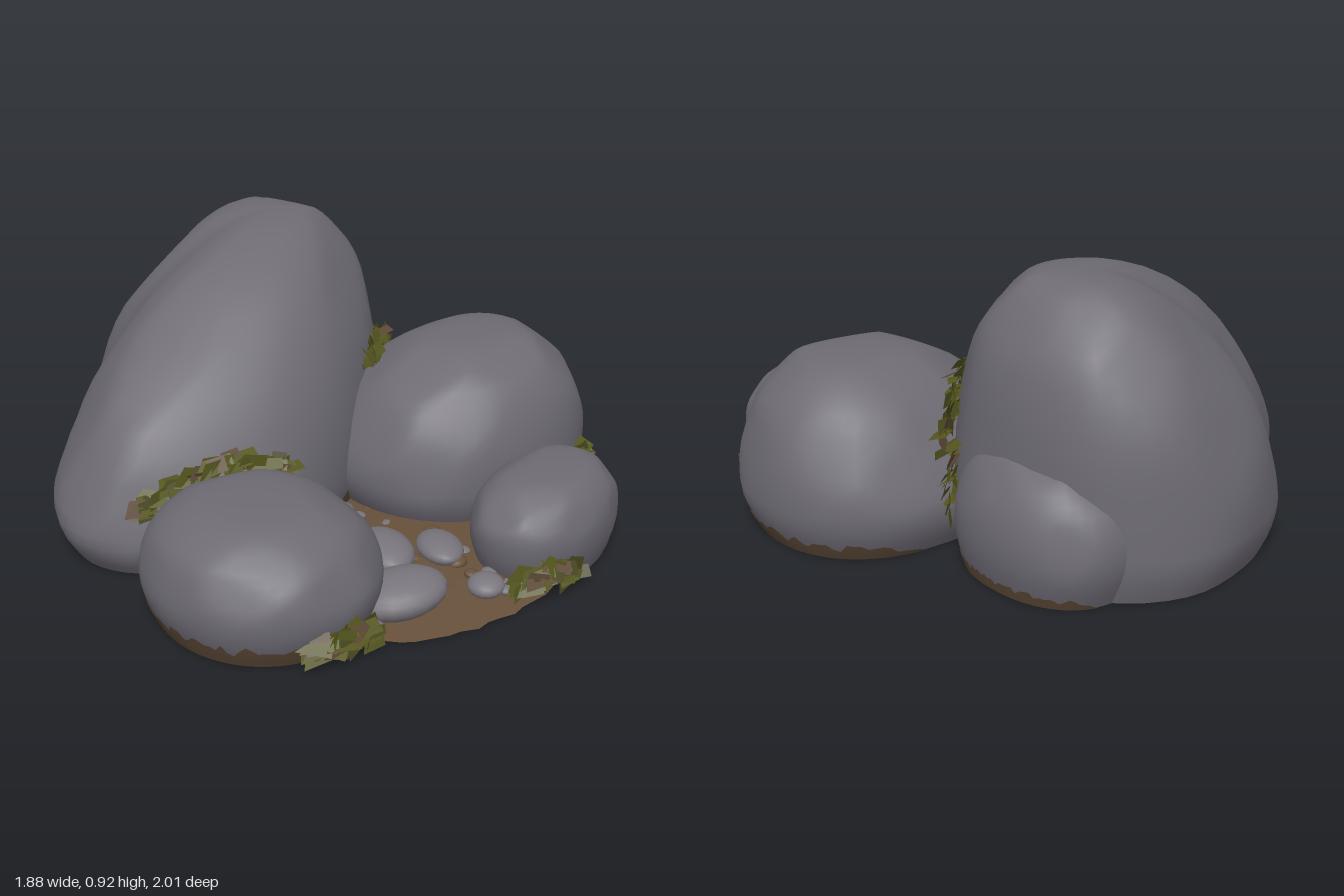
import * as THREE from 'three';
import { mergeGeometries } from 'three/addons/utils/BufferGeometryUtils.js';

const mat = (name, color, side = THREE.FrontSide) =>
  Object.assign(new THREE.MeshStandardMaterial({ color, side }), { name });

let seed = 7;
const rnd = () => {
  seed = (seed * 16807) % 2147483647;
  return seed / 2147483647;
};
const jit = (a) => (rnd() * 2 - 1) * a;

// Plan outlines, from the left and clockwise seen from above
const oval = (cx, cz, rx, rz, turn = 0, n = 2.2) => (u) => {
  const c = -Math.cos(u * Math.PI * 2), s = -Math.sin(u * Math.PI * 2);
  const r = (Math.abs(c) ** n + Math.abs(s) ** n) ** (-1 / n);
  const x = c * r * rx, z = s * r * rz, ct = Math.cos(turn), st = Math.sin(turn);
  return new THREE.Vector3(cx + x * ct + z * st, 0, cz - x * st + z * ct);
};
const loop = (points) => {
  const curve = new THREE.CatmullRomCurve3(points.map(([x, z]) => new THREE.Vector3(x, 0, z)), true);
  return (u) => curve.getPoint(((u % 1) + 1) % 1);
};

// Grid of points f(i, j) turned into a surface; i runs clockwise seen from above, j upward
function gridGeometry(ni, nj, closed, f) {
  const pos = [], idx = [];
  const cols = closed ? ni : ni + 1;
  for (let j = 0; j <= nj; j++) for (let i = 0; i < cols; i++) pos.push(...f(i, j).toArray());
  for (let j = 0; j < nj; j++) for (let i = 0; i < ni; i++) {
    const k = (i + 1) % cols;
    const a = j * cols + i, b = j * cols + k, c = a + cols, d = b + cols;
    idx.push(a, c, b, b, c, d);
  }
  const g = new THREE.BufferGeometry();
  g.setAttribute('position', new THREE.Float32BufferAttribute(pos, 3));
  g.setIndex(idx);
  g.computeVertexNormals();
  return g;
}

// Flat polygon on the ground, facing down
function capGeometry(points) {
  const g = new THREE.ShapeGeometry(new THREE.Shape(points.map((p) => new THREE.Vector2(p.x, p.z))));
  return g.rotateX(Math.PI / 2).translate(0, points[0].y, 0);
}

// Surface of a boulder: t 0..1 is the undercut foot, t 1..2 the dome.
// Random planes chisel soft facets; lean makes the dome fuller toward +x or +z.
function boulderSurface({ apex, outline, full = 2.15, lean = [0, 0], foot = 0.88 }) {
  const [ax, top, az] = apex, waist = 0.15;
  const raw = (u, t) => {
    const o = outline(u), dx = o.x - ax, dz = o.z - az;
    let s = foot + (1 - foot) * Math.sin(Math.min(t, 1) * Math.PI / 2), y = waist * t;
    if (t > 1) {
      const a = (t - 1) * Math.PI / 2;
      const e = 2 / (full + (lean[0] * dx + lean[1] * dz) / Math.hypot(dx, dz));
      s = Math.max(Math.cos(a), 0.0001) ** e;
      y = waist + (top + 0.015 - waist) * Math.sin(a) ** e;
    }
    const x = ax + dx * s, z = az + dz * s;
    s *= 1 + 0.012 * Math.sin(9 * x + 7 * y + ax * 20) * Math.sin(8 * z - 6 * y);
    return new THREE.Vector3(ax + dx * s, y, az + dz * s);
  };
  const samples = [];
  for (let i = 0; i < 30; i++) for (let j = 0; j <= 10; j++) samples.push(raw(i / 30, 0.5 + j * 0.15));
  const planes = [{ n: new THREE.Vector3(0, 1, 0), d: top - 0.01 }];
  const centre = new THREE.Vector3(ax, top * 0.2, az);
  for (let k = 0; k < 16; k++) {
    const a = k * 2.4 + jit(0.4), y = 0.1 + 0.8 * rnd(), r = Math.sqrt(1 - y * y);
    const n = new THREE.Vector3(Math.cos(a) * r, y, Math.sin(a) * r), c = n.dot(centre);
    planes.push({ n, d: c + 0.96 * (Math.max(...samples.map((p) => p.dot(n))) - c) });
  }
  return (u, t) => {
    const p = raw(u, t);
    for (const { n, d } of planes) {
      const over = p.dot(n) - d;
      if (over > 0) p.addScaledVector(n, -over * 0.6);
    }
    return p;
  };
}

// Cluster of flat leaf blades scattered along a path
function bladesGeometry(path, count) {
  const curve = new THREE.CatmullRomCurve3(path.map((p) => new THREE.Vector3(...p)));
  const blades = [], size = 0.08, spread = 0.022;
  for (let i = 0; i < count; i++) {
    const u = rnd(), p = curve.getPoint(u), dir = curve.getTangent(u);
    const g = new THREE.PlaneGeometry(size * (0.6 + 0.8 * rnd()), size * (0.35 + 0.5 * rnd()));
    g.attributes.position.setX(0, g.attributes.position.getX(0) * 0.4);
    g.rotateZ(jit(0.35)).rotateX(-0.6 + jit(0.7)).rotateY(Math.atan2(-dir.z, dir.x) + jit(0.5));
    blades.push(g.translate(p.x + jit(spread), Math.max(p.y + jit(spread), size * 0.5), p.z + jit(spread)));
  }
  return mergeGeometries(blades);
}

export function createModel() {
  seed = 7;
  const rock = mat('rock grey', 0x6d6a73);
  const stone = mat('pebble grey', 0x78757c);
  const dirt = mat('dirt brown', 0x66503a);
  const mud = mat('dried mud', 0x5c4836, THREE.DoubleSide);
  const moss = mat('moss olive', 0x55561f, THREE.DoubleSide);
  const darkMoss = mat('dark moss', 0x42421c, THREE.DoubleSide);

  const model = new THREE.Group();
  model.name = 'boulderPile';
  const add = (name, geometry, material, parent = model) => {
    const m = new THREE.Mesh(geometry, material);
    m.name = name;
    parent.add(m);
    return m;
  };

  // Boulders, each with a flat base and ragged mud bands [from, to, height] around the foot
  const boulder = (name, shape, ...mudBands) => {
    const surf = boulderSurface(shape), N = 56, foot = 4, dome = 16;
    const group = new THREE.Group();
    group.name = name;
    model.add(group);
    add('stone', gridGeometry(N, foot + dome, true, (i, j) =>
      surf(i / N, j < foot ? j / foot : 1 + (j - foot) / dome)), rock, group);
    add('base', capGeometry(Array.from({ length: N }, (_, i) => surf(i / N, 0))), rock, group);
    for (const [u0, u1, height] of mudBands) {
      const n = Math.round((u1 - u0) * 120);
      const tops = Array.from({ length: n + 1 }, (_, i) =>
        height * Math.min(1, 6 * Math.min(i, n - i) / n) * (0.5 + 0.3 * Math.sin(i * 0.7) ** 2 + 0.4 * rnd()));
      add('mud', gridGeometry(n, 3, false, (i, j) => {
        const p = surf(u0 + (u1 - u0) * i / n, tops[i] * j / 3);
        p.x += (p.x - shape.apex[0]) * 0.012;
        p.z += (p.z - shape.apex[2]) * 0.012;
        return p;
      }), mud, group);
    }
  };
  boulder('largeBoulder', {
    apex: [0.14, 0.92, -0.45], full: 2.15, lean: [0.55, -0.15], foot: 0.93,
    outline: loop([[-0.95, -0.07], [-0.85, -0.33], [-0.59, -0.61], [-0.36, -0.89], [0.02, -1.01], [0.34, -0.84],
      [0.46, -0.45], [0.41, -0.2], [0.02, 0.15], [-0.38, 0.25], [-0.83, 0.12]]),
  }, [0.66, 0.8, 0.7], [0.04, 0.12, 0.15]);
  boulder('rearBoulder', { apex: [0.3, 0.44, -0.52], outline: oval(0.28, -0.57, 0.27, 0.34, 0.1) }, [0.3, 0.72, 0.32]);
  boulder('rightBoulder', {
    apex: [0.54, 0.575, 0.15], lean: [0.15, 0.4], foot: 0.87, outline: oval(0.47, 0.13, 0.475, 0.42),
  }, [0.27, 0.7, 0.42]);
  boulder('leftBoulder', {
    apex: [-0.53, 0.385, 0.43], lean: [-0.2, 0], outline: oval(-0.555, 0.475, 0.365, 0.38, 0, 2.1),
  }, [0.66, 1.15, 0.5]);
  boulder('frontBoulder', {
    apex: [0.41, 0.32, 0.7], lean: [0, 0.25], foot: 0.85, outline: oval(0.39, 0.72, 0.305, 0.21, 0.35),
  }, [0.45, 0.7, 0.35]);

  // Earth bed between the boulders, gently mounded with a ragged edge
  const bed = oval(-0.02, 0.42, 0.55, 0.54);
  const rim = Array.from({ length: 70 }, (_, i) => bed(i / 70).add(new THREE.Vector3(jit(0.01), 0.002, jit(0.014))));
  add('earthBed', gridGeometry(70, 6, true, (i, j) => {
    const s = 1 - j / 6.001, p = rim[i];
    return new THREE.Vector3(p.x * s, 0.002 + 0.05 * (1 - s * s), 0.42 + (p.z - 0.42) * s);
  }), dirt);
  add('earthBase', capGeometry(rim), dirt);

  // Pebbles: x, z, half width, half depth, turn
  const pebble = (name, material, x, z, rx, rz, turn = 0) => {
    const ry = Math.min(rx, rz) * 0.55;
    const m = add(name, new THREE.SphereGeometry(1, 18, 12), material);
    m.scale.set(rx, ry, rz);
    m.position.set(x, 0.03 + ry * 0.6, z);
    m.rotation.set(jit(0.12), turn, jit(0.12));
  };
  [[-0.23, 0.75, 0.155, 0.125, -0.2], [-0.1, 0.5, 0.095, 0.14, -0.35], [0.065, 0.58, 0.075, 0.115, -0.4],
    [-0.17, 0.31, 0.05, 0.065, 0.3], [-0.1, 0.19, 0.1, 0.06], [0.04, 0.84, 0.06, 0.06], [-0.4, 0.83, 0.045, 0.04]]
    .forEach((p) => pebble('pebble', stone, ...p));

  // Gravel and clods scattered down the open channel
  for (let i = 0; i < 24; i++) {
    const z = 0.2 + 0.7 * (i + rnd()) / 24, r = 0.014 + rnd() * 0.016;
    const x = jit(0.04 + 0.16 * z) + 0.02;
    if (i % 3) pebble('gravel', stone, x, z, r, r);
    else pebble('earthClod', dirt, x, z, r * 1.3, r * 1.3);
  }

  // Moss in the crevices and tufts at the feet
  const tuft = (name, count, ...path) => {
    add(name, bladesGeometry(path, count), moss);
    add(name + 'Shade', bladesGeometry(path, Math.round(count * 0.3)), darkMoss);
    add(name + 'Dry', bladesGeometry(path, Math.round(count * 0.2)), mud);
  };
  tuft('mossRight', 60, [0.2, 0.48, 0.01], [0.33, 0.5, -0.12], [0.44, 0.38, -0.23], [0.48, 0.14, -0.28]);
  tuft('mossLeft', 46, [-0.8, 0.25, 0.13], [-0.62, 0.34, 0.18], [-0.45, 0.35, 0.21], [-0.3, 0.31, 0.25]);
  tuft('tuftSide', 34, [0.65, 0.04, 0.53], [0.72, 0.18, 0.52], [0.76, 0.05, 0.53]);
  tuft('tuftFront', 38, [0.11, 0.04, 0.91], [0.2, 0.09, 0.94], [0.32, 0.05, 0.95]);
  tuft('tuftLeft', 34, [-0.62, 0.06, 0.85], [-0.52, 0.08, 0.86], [-0.42, 0.05, 0.85]);
  return model;
}
